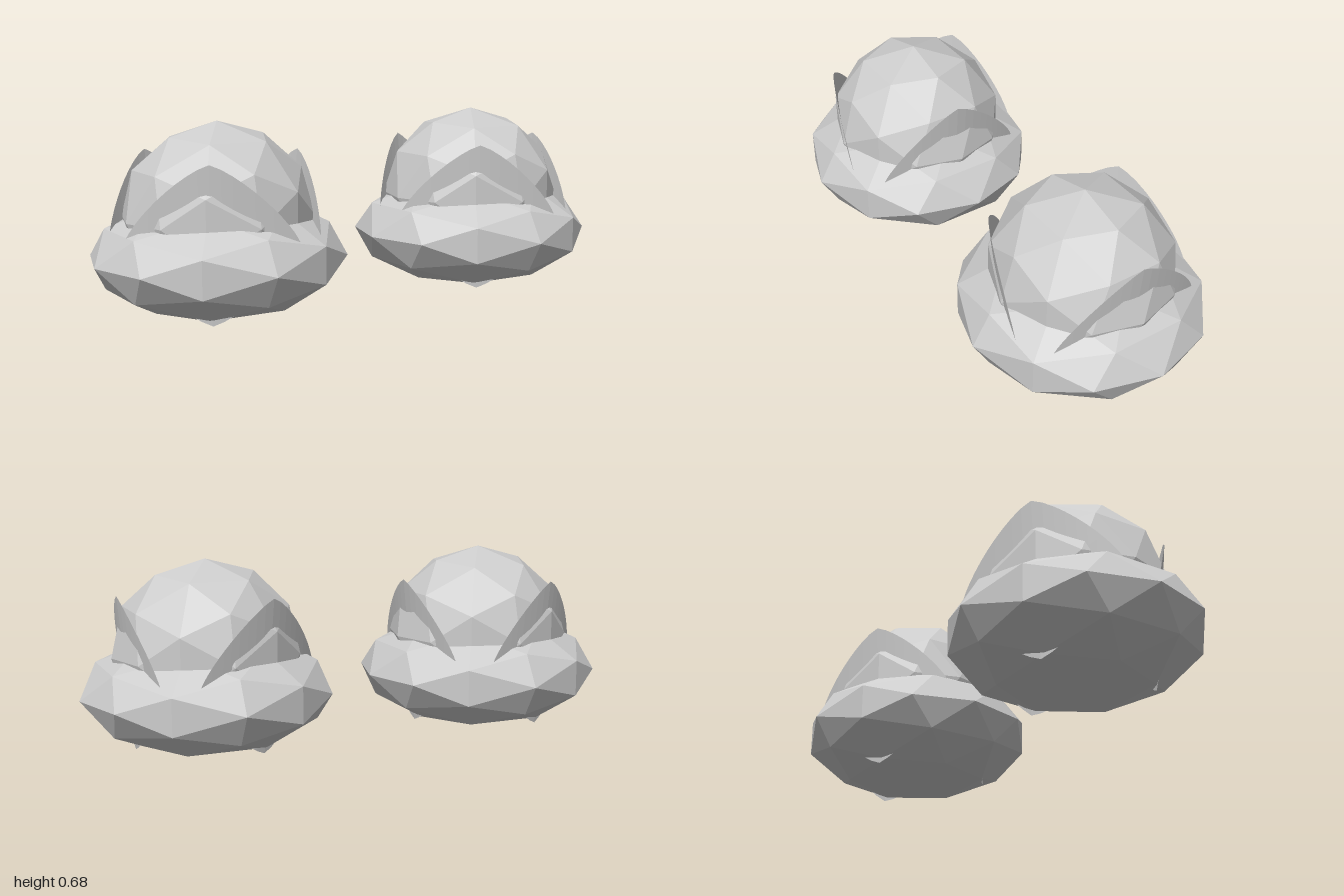
import * as THREE from 'three';

const grey = new THREE.MeshStandardMaterial({ color: 0xcccccc, flatShading: true, side: THREE.DoubleSide });
grey.name = 'plain grey';

// Faceted ellipsoid centred at height y
function blob(name, y, rx, ry, rz) {
  const mesh = new THREE.Mesh(new THREE.IcosahedronGeometry(1, 1), grey);
  mesh.name = name;
  mesh.scale.set(rx, ry, rz);
  mesh.position.y = y;
  return mesh;
}

// Thin rounded-diamond petal, bowed around the dome and leaning outwards
function petalGeometry() {
  const halfWidth = 0.292, halfHeight = 0.273, power = 1.28;
  const geo = new THREE.PlaneGeometry(2, 2, 24, 8);
  const p = geo.attributes.position;
  for (let i = 0; i < p.count; i++) {
    const s = Math.sin(p.getX(i) * Math.PI / 2);
    const h = Math.pow(Math.max(0, 1 - Math.pow(Math.abs(s), power)), 1 / power);
    const v = p.getY(i) * h;
    const bow = 0.045 * Math.pow(Math.abs(s), 1.6);
    p.setXYZ(i, s * halfWidth, 0.2975 + v * halfHeight, 0.29 + 0.026 * v - bow);
  }
  geo.computeVertexNormals();
  return geo;
}

function ornament(name) {
  const group = new THREE.Group();
  group.name = name;
  group.add(blob('base', 0.214, 0.455, 0.213, 0.441));
  group.add(blob('dome', 0.355, 0.34, 0.33, 0.33));
  // Three petals, evenly spaced
  const geo = petalGeometry();
  for (const degrees of [90, 210, 330]) {
    const petal = new THREE.Mesh(geo, grey);
    petal.name = 'petal';
    petal.rotation.y = THREE.MathUtils.degToRad(degrees);
    group.add(petal);
  }
  return group;
}

export function createModel() {
  const model = new THREE.Group();
  model.name = 'pairOfDomes';
  for (const side of [1, -1]) {
    const item = ornament(side > 0 ? 'leftOrnament' : 'rightOrnament');
    item.position.x = side * 0.545;
    model.add(item);
  }
  return model;
}
